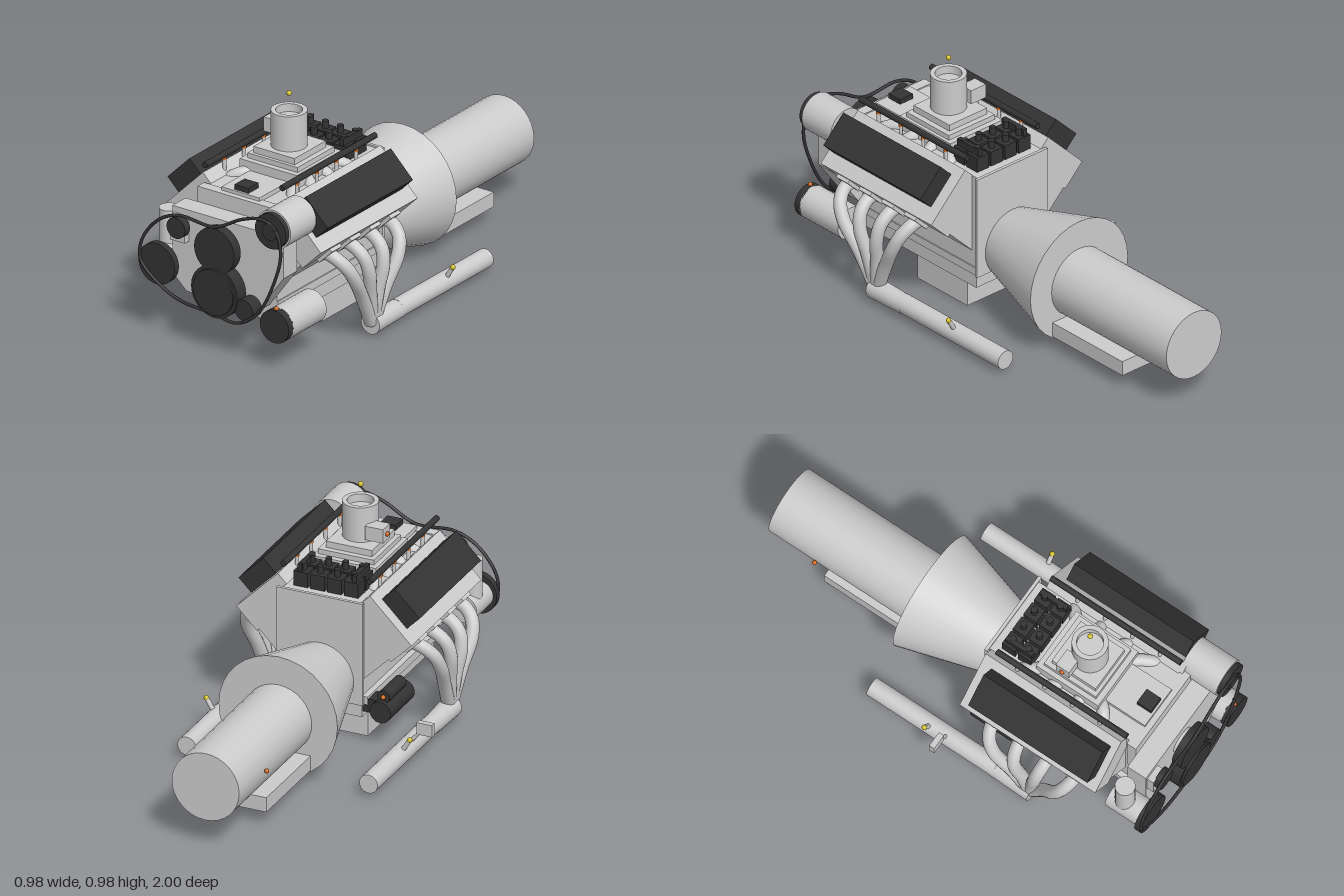
import * as THREE from 'three';

const CX = 0.025; // crank axis in x
const mat = (color) => new THREE.MeshStandardMaterial({ color, side: THREE.DoubleSide });
const GREY = mat(0xcccccc), DARK = mat(0x333333), ORANGE = mat(0xd2691e), YELLOW = mat(0xd4c02a);

export function createModel() {
  const model = new THREE.Group();
  model.name = 'engine';

  const add = (name, geometry, material = GREY) => {
    const mesh = new THREE.Mesh(geometry, material);
    mesh.name = name;
    model.add(mesh);
    return mesh;
  };
  // box given by its extents on each axis
  const box = (name, [x0, x1], [y0, y1], [z0, z1], material) => {
    const b = add(name, new THREE.BoxGeometry(x1 - x0, y1 - y0, z1 - z0), material);
    b.position.set((x0 + x1) / 2, (y0 + y1) / 2, (z0 + z1) / 2);
    return b;
  };
  // cylinder or cone along z, from z0 (radius r0) to z1 (radius r1)
  const cylZ = (name, x, y, z0, z1, r0, material, r1 = r0) => {
    const g = new THREE.CylinderGeometry(r1, r0, z1 - z0, 32).rotateX(Math.PI / 2);
    const c = add(name, g, material);
    c.position.set(x, y, (z0 + z1) / 2);
    return c;
  };
  const cylY = (name, x, z, y0, y1, r, material) => {
    const c = add(name, new THREE.CylinderGeometry(r, r, y1 - y0, 24), material);
    c.position.set(x, (y0 + y1) / 2, z);
    return c;
  };
  const ball = (name, x, y, z, r, material) =>
    add(name, new THREE.SphereGeometry(r, 16, 12), material).position.set(x, y, z);
  const tube = (name, pts, r, material = GREY, closed = false, seg = 32) => {
    const curve = new THREE.CatmullRomCurve3(pts.map((p) => new THREE.Vector3(...p)), closed);
    return add(name, new THREE.TubeGeometry(curve, seg, r, closed ? 8 : 16, closed), material);
  };

  // Block, rear plate and oil pan
  box('block', [-0.15, 0.2], [0.18, 0.63], [0.1, 0.8]);
  box('blockFront', [-0.17, 0.22], [0.4, 0.635], [0.79, 0.835]);
  box('rearPlate', [-0.165, 0.22], [0.18, 0.637], [0.088, 0.102]);
  box('panRail', [-0.175, 0.205], [0.175, 0.21], [0.115, 0.8]);
  box('oilPan', [-0.15, 0.2], [0.115, 0.18], [0.115, 0.8]);
  box('oilSump', [-0.145, 0.19], [0, 0.12], [0.18, 0.48]);

  // Front cover
  const cover = new THREE.Shape([
    [-0.23, 0.567], [-0.23, 0.27], [-0.16, 0.205], [0.19, 0.205], [0.325, 0.39], [0.325, 0.567],
  ].map(([x, y]) => new THREE.Vector2(x, y)));
  add('frontCover', new THREE.ExtrudeGeometry(cover, { depth: 0.09, bevelEnabled: false })).position.z = 0.835;

  // Cylinder banks, mirrored about the crank axis and slightly staggered
  const ports = [0.28, 0.415, 0.55, 0.685];
  for (const s of [-1, 1]) {
    const dz = s > 0 ? 0 : -0.03;
    const X = (d) => CX + s * d;
    const bankBox = (name, d, y, width, depth, z0, z1, material) => {
      const b = add(name, new THREE.BoxGeometry(width, depth, z1 - z0), material);
      b.position.set(X(d), y, (z0 + z1) / 2 + dz);
      b.rotation.z = (-s * Math.PI) / 4;
    };
    bankBox('cylinderBank', 0.14, 0.412, 0.235, 0.21, 0.14, 0.8);
    bankBox('cylinderHead', 0.259, 0.531, 0.262, 0.13, 0.14, 0.805);
    bankBox('valveCover', 0.327, 0.614, 0.156, 0.08, 0.19, 0.775, DARK);

    // Fuel rail with injectors
    cylZ('fuelRail', X(0.192), 0.712, 0.15, 0.79, 0.013, DARK);
    for (const z of ports) {
      cylY('injector', X(0.192), z + dz, 0.69, 0.708, 0.009, ORANGE);
      cylY('injectorBody', X(0.192), z + dz, 0.62, 0.69, 0.008, GREY);
    }

    // Intake runners and exhaust primaries
    for (const z of ports) {
      const zi = 0.46 + (z - 0.4825) * 0.55;
      tube('intakeRunner', [[X(0.08), 0.63, zi], [X(0.13), 0.635, (zi + z) / 2],
        [X(0.17), 0.61, z + dz], [X(0.2), 0.57, z + dz]], 0.026, GREY, false, 16);
      bankBox('exhaustFlange', 0.352, 0.431, 0.02, 0.09, z - 0.035, z + 0.035);
      const k = (t) => z + dz + (0.46 - z - dz) * t;
      tube('exhaustPrimary', [[X(0.32), 0.43, k(0)], [X(0.375), 0.417, k(0)], [X(0.42), 0.375, k(0.1)],
        [X(0.435), 0.31, k(0.27)], [X(0.42), 0.2, k(0.6)], [X(0.405), 0.06, k(0.95)]], 0.028);
    }

    // Collector, exhaust pipe and oxygen sensor
    cylZ('exhaustCollector', X(0.405), 0.053, 0.28, 0.475, 0.041, GREY, 0.046);
    cylZ('exhaustPipe', X(0.405), 0.055, -0.315, 0.3, 0.041);
    tube('oxygenSensorStub', [[X(0.415), 0.07, -0.025], [X(0.45), 0.128, -0.025]], 0.01, GREY, false, 2);
    ball('oxygenSensorTip', X(0.453), 0.133, -0.025, 0.011, YELLOW);
  }
  box('exhaustSensorBox', [-0.495, -0.425], [0.127, 0.18], [0.045, 0.07]);
  tube('sensorBoxBracket', [[-0.39, 0.08, 0.057], [-0.44, 0.14, 0.057]], 0.008, GREY, false, 2);

  // Intake plenum and throttle body
  box('valleyCover', [-0.07, 0.12], [0.62, 0.65], [0.6, 0.81]);
  box('plenum', [-0.12, 0.165], [0.62, 0.69], [0.31, 0.615]);
  box('plenumLid', [-0.1, 0.15], [0.69, 0.712], [0.335, 0.59]);
  box('throttleFlange', [-0.08, 0.125], [0.71, 0.74], [0.36, 0.575]);
  const throttle = [[0, 0.86], [0.055, 0.86], [0.055, 0.895], [0.075, 0.895], [0.075, 0.74]];
  for (let i = 0; i < throttle.length - 1; i++) { // separate bands keep the edges sharp
    const band = [throttle[i + 1], throttle[i]].map((p) => new THREE.Vector2(...p));
    add('throttleBody', new THREE.LatheGeometry(band, 32)).position.set(CX, 0, 0.475);
  }
  box('throttleActuator', [-0.11, -0.03], [0.76, 0.822], [0.4, 0.465]);
  ball('actuatorPlug', -0.113, 0.79, 0.432, 0.01, ORANGE);
  ball('airSensor', CX, 0.967, 0.475, 0.011, YELLOW);
  box('mapSensor', [-0.012, 0.058], [0.635, 0.672], [0.73, 0.8], DARK);

  // Ignition coils: two rows of four
  for (const z of [0.175, 0.252]) {
    for (let i = 0; i < 4; i++) {
      const x = CX + (i - 1.5) * 0.075;
      box('coilPack', [x - 0.032, x + 0.032], [0.62, 0.695], [z - 0.032, z + 0.032], DARK);
      cylY('coilTerminal', x, z, 0.695, 0.727, 0.014, DARK);
    }
  }
  box('coilBracketLeft', [0.135, 0.155], [0.69, 0.725], [0.15, 0.28], DARK);
  box('coilBracketRight', [-0.108, -0.088], [0.69, 0.725], [0.15, 0.28], DARK);

  // Bell housing and gearbox
  cylZ('bellHousing', CX, 0.276, -0.31, 0.09, 0.265, GREY, 0.15);
  cylZ('gearbox', CX, 0.265, -1, -0.3, 0.15);
  box('gearboxPan', [-0.12, 0.17], [0.06, 0.125], [-0.73, -0.29]);
  ball('gearboxSensor', -0.138, 0.265, -0.765, 0.01, ORANGE);

  // Starter motor
  cylZ('starter', -0.237, 0.16, 0.1, 0.33, 0.047, DARK);
  cylZ('starterSolenoid', -0.243, 0.222, 0.12, 0.28, 0.028, DARK);
  box('starterMount', [-0.23, -0.14], [0.14, 0.2], [0.12, 0.2], DARK);
  ball('starterTerminal', -0.243, 0.222, 0.117, 0.01, ORANGE);

  // Accessories behind the pulleys
  cylZ('alternator', 0.3, 0.613, 0.785, 0.96, 0.085);
  cylZ('compressor', 0.325, 0.2, 0.73, 0.96, 0.072);
  cylZ('steeringPump', -0.28, 0.32, 0.8, 0.96, 0.06);
  cylY('steeringReservoir', -0.29, 0.865, 0.33, 0.522, 0.042);
  box('idlerBracket', [-0.22, -0.147], [0.43, 0.54], [0.92, 0.955]);
  cylZ('waterPump', CX, 0.455, 0.92, 0.96, 0.06);
  ball('compressorPlug', 0.325, 0.275, 0.975, 0.01, ORANGE);

  // Pulleys: x, y, radius, back z, front z
  const pulleys = {
    waterPumpPulley: [CX, 0.455, 0.1, 0.945, 0.99],
    crankPulley: [CX, 0.275, 0.115, 0.93, 0.99],
    crankDamper: [CX, 0.275, 0.1, 0.98, 1],
    alternatorPulley: [0.3, 0.613, 0.077, 0.955, 0.982],
    alternatorHub: [0.3, 0.613, 0.037, 0.975, 0.99],
    steeringPulley: [-0.266, 0.32, 0.09, 0.955, 0.985],
    compressorPulley: [0.325, 0.2, 0.072, 0.955, 0.99],
    idlerPulley: [-0.17, 0.503, 0.046, 0.95, 0.985],
    tensionerPulley: [0.168, 0.228, 0.046, 0.92, 0.985],
  };
  for (const [name, [x, y, r, z0, z1]] of Object.entries(pulleys)) cylZ(name, x, y, z0, z1, r, DARK);

  // Drive belt
  const belt = [
    [-0.24, 0.53], [-0.15, 0.565], [0.02, 0.56], [0.16, 0.63], [0.25, 0.655], [0.32, 0.635],
    [0.353, 0.53], [0.32, 0.39], [0.235, 0.23], [0.13, 0.163], [0.02, 0.175], [-0.15, 0.19],
    [-0.26, 0.24], [-0.345, 0.32], [-0.345, 0.39], [-0.31, 0.46],
  ];
  tube('driveBelt', belt.map(([x, y]) => [x, y, 0.985]), 0.007, DARK, true, 128);

  return model;
}
